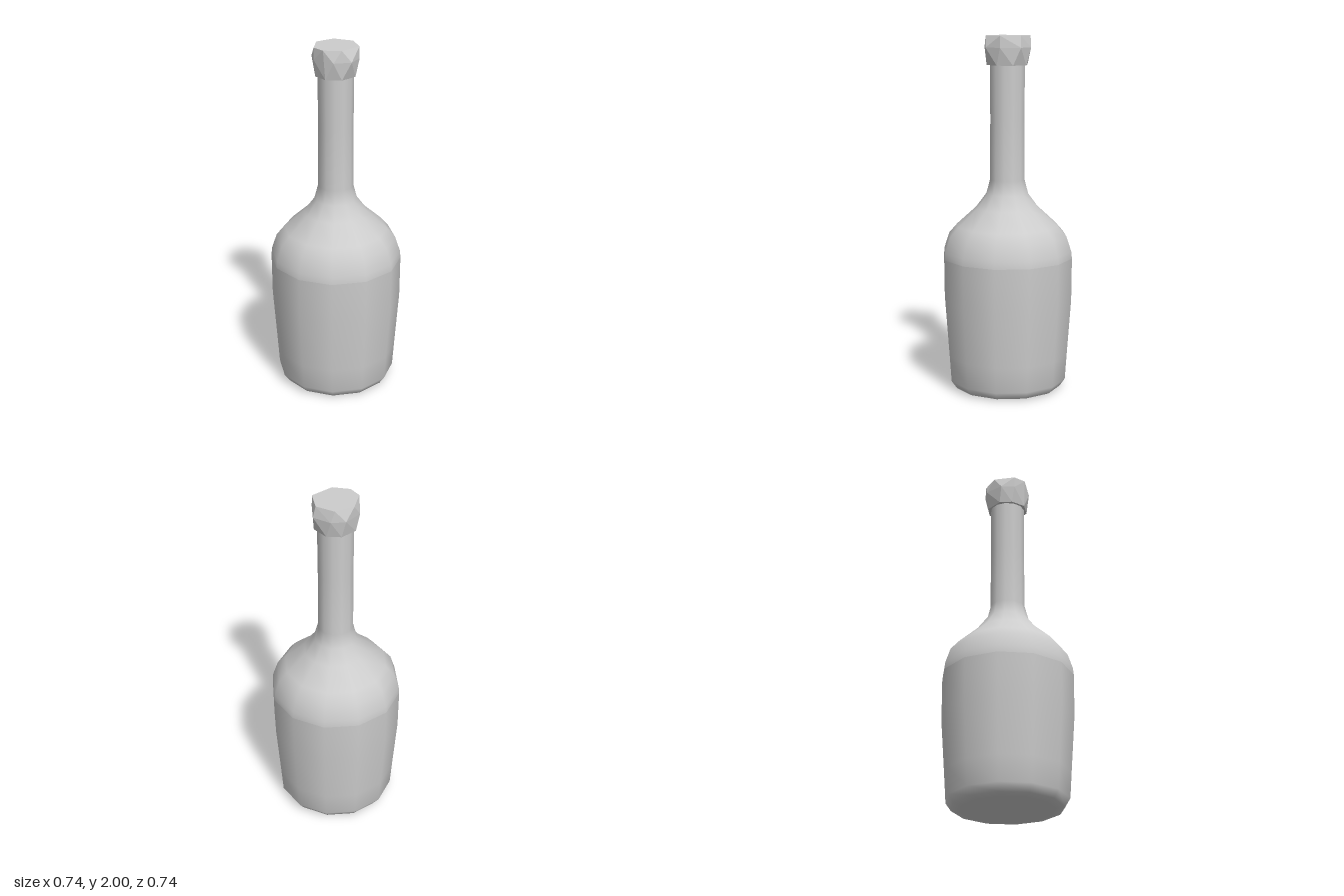
import * as THREE from 'three';
import { ConvexGeometry } from 'three/addons/geometries/ConvexGeometry.js';

export function createModel() {
  const group = new THREE.Group();
  group.name = 'bottle';
  const grey = new THREE.MeshStandardMaterial({ color: 0xcccccc });
  grey.name = 'plain grey';

  function add(name, geometry) {
    const mesh = new THREE.Mesh(geometry, grey);
    mesh.name = name;
    group.add(mesh);
  }
  // Twelve-sided smooth turned part from [radius, height] pairs
  const turned = (profile) =>
    new THREE.LatheGeometry(profile.map(([r, y]) => new THREE.Vector2(r, y)), 12);

  // Lower body with a rounded foot; its shading breaks at the shoulder seam
  add('body', turned([
    [0, 0.003], [0.26, 0.003], [0.305, 0.012], [0.335, 0.055],
    [0.345, 0.2], [0.368, 0.52], [0.37, 0.76],
  ]));

  // Shoulder sweeping into the long neck
  add('shoulderAndNeck', turned([
    [0.37, 0.76], [0.366, 0.8], [0.338, 0.885], [0.29, 0.94], [0.18, 1.04],
    [0.12, 1.12], [0.099, 1.2], [0.097, 1.55], [0.099, 1.86],
  ]));

  // Roughly chipped stopper: three uneven rings, [x, z] at each height
  const rings = [
    [2.0, [[-0.125, 0], [-0.08, -0.1], [0.03, -0.123], [0.117, -0.05],
      [0.09, 0.08], [0.003, 0.128], [-0.07, 0.108]]],
    [1.935, [[-0.12, -0.06], [-0.065, -0.117], [0.04, -0.134], [0.119, -0.05],
      [0.13, 0.045], [0.06, 0.115], [-0.07, 0.109], [-0.123, 0.05]]],
    [1.838, [[-0.112, 0.03], [-0.095, -0.065], [-0.03, -0.112], [0.065, -0.098],
      [0.112, -0.02], [0.088, 0.075], [0.01, 0.117], [-0.072, 0.09]]],
  ];
  add('stopper', new ConvexGeometry(
    rings.flatMap(([y, ring]) => ring.map(([x, z]) => new THREE.Vector3(x, y, z)))));

  return group;
}
